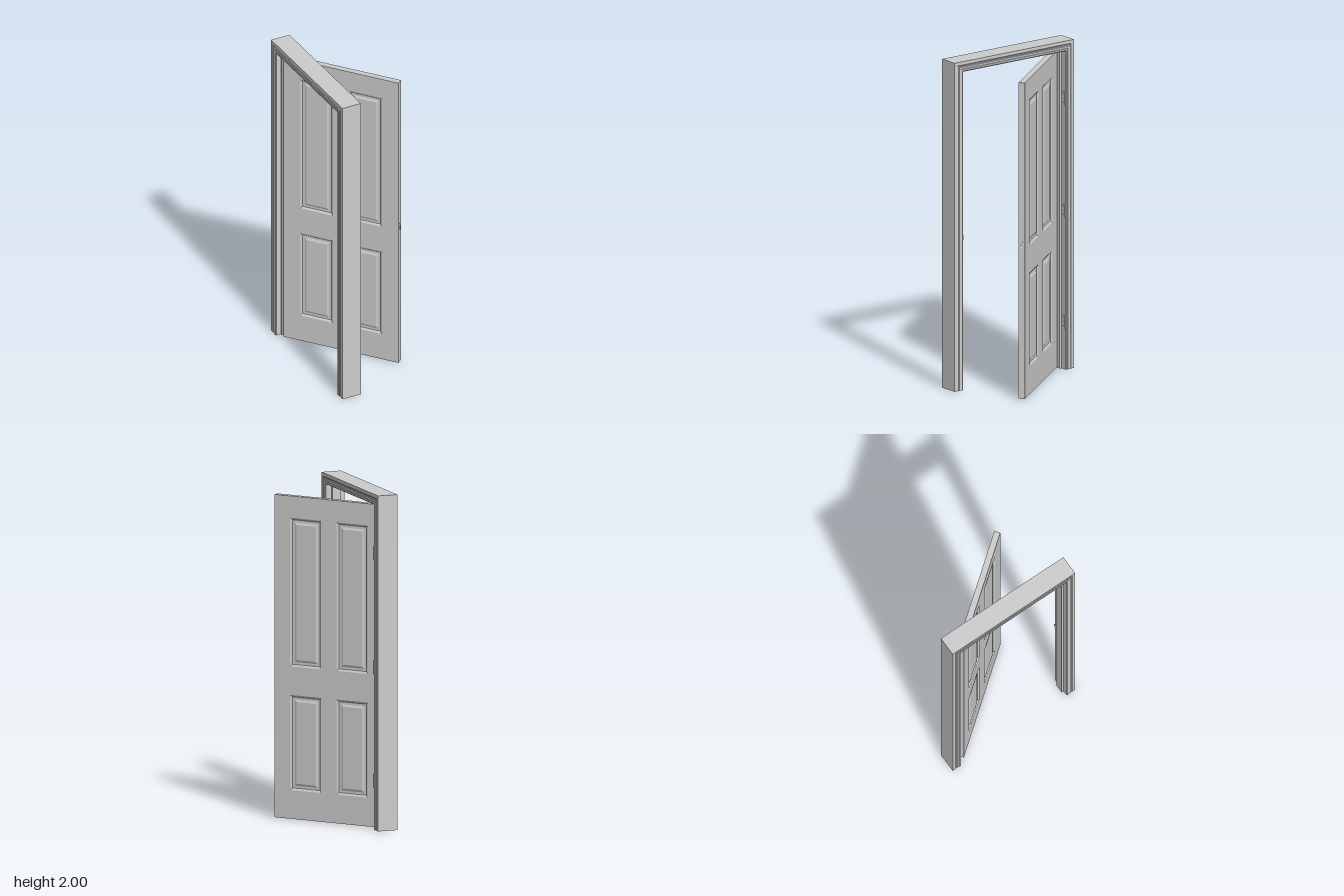
import * as THREE from 'three';

const mat = new THREE.MeshStandardMaterial({ color: 0xcccccc });

function add(parent, name, geo, x = 0, y = 0, z = 0) {
  const m = new THREE.Mesh(geo, mat);
  m.name = name;
  m.position.set(x, y, z);
  parent.add(m);
  return m;
}

// flat-shaded geometry from a list of Vector3 corners, three per triangle
function facets(points) {
  const g = new THREE.BufferGeometry().setFromPoints(points);
  g.computeVertexNormals();
  return g;
}
const quad = (out, a, b, c, d) => out.push(a, b, c, a, c, d);

// frame: a moulded profile [x, inset] swept with mitred corners up, across and down
function frameGeometry() {
  const front = [[0.061, 0], [0.061, 0.02], [0.058, 0.024], [0.058, 0.03], [0.061, 0.034],
    [0.061, 0.045], [0.0625, 0.047], [0.0625, 0.057], [0.059, 0.062],
    [0.022, 0.062], [0.022, 0.075]];
  const back = front.map(([x, u]) => [-x, u]).reverse();
  back[0][0] = -0.03;
  back[1][0] = -0.03;
  const prof = [...front, ...back].map(([x, u]) => new THREE.Vector2(x - 0.194, u));
  // the loop must begin at the back outer edge
  prof.unshift(prof.pop());
  const stations = [
    p => new THREE.Vector3(p.x, 0, 0.44 - p.y),
    p => new THREE.Vector3(p.x, 2 - p.y, 0.44 - p.y),
    p => new THREE.Vector3(p.x, 2 - p.y, p.y - 0.44),
    p => new THREE.Vector3(p.x, 0, p.y - 0.44),
  ];
  const out = [];
  for (let s = 0; s < 3; s++) {
    prof.forEach((p, i) => {
      const q = prof[(i + 1) % prof.length];
      quad(out, stations[s](p), stations[s](q), stations[s + 1](q), stations[s + 1](p));
    });
  }
  for (const [a, b, c] of THREE.ShapeUtils.triangulateShape(prof, [])) {
    out.push(...[c, b, a].map(i => stations[0](prof[i])));
    out.push(...[a, b, c].map(i => stations[3](prof[i])));
  }
  return facets(out);
}

// raised panel: nested rectangles stepping down into the recess and up again
function panelGeometry(w, h) {
  const steps = [[0, 0], [0.006, -0.003], [0.012, -0.009], [0.027, -0.009], [0.04, -0.003]];
  const rings = steps.map(([i, d]) => [[-1, -1], [1, -1], [1, 1], [-1, 1]].map(
    ([sx, sy]) => new THREE.Vector3(sx * (w / 2 - i), sy * (h / 2 - i), d)));
  const out = [];
  for (let r = 0; r < rings.length - 1; r++) {
    for (let k = 0; k < 4; k++) {
      const n = (k + 1) % 4;
      quad(out, rings[r][k], rings[r][n], rings[r + 1][n], rings[r + 1][k]);
    }
  }
  quad(out, ...rings[rings.length - 1]);
  return facets(out);
}

function rect(path, x0, y0, x1, y1) {
  path.moveTo(x0, y0);
  path.lineTo(x1, y0);
  path.lineTo(x1, y1);
  path.lineTo(x0, y1);
  path.closePath();
  return path;
}

function makeDoor() {
  const door = new THREE.Group();
  door.name = 'door';
  const L = 0.735, T = 0.037;

  // slab with four openings
  const shape = rect(new THREE.Shape(), 0, 0.004, L, 1.928);
  const panels = [];
  for (const [x0, x1] of [[0.105, 0.315], [0.42, 0.63]]) {
    for (const [y0, y1] of [[0.175, 0.742], [0.912, 1.798]]) {
      shape.holes.push(rect(new THREE.Path(), x0, y0, x1, y1));
      panels.push([x0, x1, y0, y1]);
    }
  }
  const slab = new THREE.ExtrudeGeometry(shape, { depth: T, bevelEnabled: false });
  add(door, 'doorSlab', slab, 0, 0, -T / 2);

  // raised panels on both faces
  for (const [x0, x1, y0, y1] of panels) {
    const g = panelGeometry(x1 - x0, y1 - y0);
    for (const side of [1, -1]) {
      const p = add(door, 'raisedPanel', g, (x0 + x1) / 2, (y0 + y1) / 2, side * T / 2);
      if (side < 0) p.rotation.y = Math.PI;
    }
  }

  // latch plate, bolt and screws on the free edge
  add(door, 'latchPlate', new THREE.BoxGeometry(0.002, 0.055, 0.02), L, 0.93, 0);
  const bolt = new THREE.Shape([[0, -0.006], [0.002, -0.006], [0.009, 0.006], [0, 0.006]]
    .map(p => new THREE.Vector2(...p)));
  const boltGeo = new THREE.ExtrudeGeometry(bolt, { depth: 0.018, bevelEnabled: false });
  boltGeo.translate(0, 0, -0.009).rotateX(Math.PI / 2);
  add(door, 'latchBolt', boltGeo, L, 0.93, 0);
  for (const dy of [-0.02, 0.02]) {
    const s = add(door, 'latchScrew', new THREE.CylinderGeometry(0.003, 0.003, 0.002, 10), L + 0.001, 0.93 + dy, 0);
    s.rotation.z = Math.PI / 2;
  }

  door.position.set(-0.211, 0, -0.351);
  door.rotation.y = -0.91;
  return door;
}

function makeHinge(y) {
  const hinge = new THREE.Group();
  hinge.name = 'hinge';
  // leaf on the jamb with screws
  add(hinge, 'hingeLeaf', new THREE.BoxGeometry(0.032, 0.076, 0.002), -0.149, 0, -0.3775);
  for (const [dx, dy] of [[-0.006, -0.026], [0.004, 0], [-0.006, 0.026]]) {
    const s = add(hinge, 'hingeScrew', new THREE.CylinderGeometry(0.0035, 0.0035, 0.002, 10), -0.149 + dx, dy, -0.376);
    s.rotation.x = Math.PI / 2;
  }
  // knuckles and pin tips
  for (let i = -2; i <= 2; i++) {
    add(hinge, 'hingeKnuckle', new THREE.CylinderGeometry(0.0045, 0.0045, 0.0145, 12), -0.1315, i * 0.0153, -0.374);
  }
  add(hinge, 'hingePin', new THREE.CylinderGeometry(0.003, 0.003, 0.084, 10), -0.1315, 0, -0.374);
  hinge.position.y = y;
  return hinge;
}

export function createModel() {
  const model = new THREE.Group();
  model.name = 'doorway';
  add(model, 'doorFrame', frameGeometry());
  model.add(makeDoor());
  for (const y of [0.29, 0.97, 1.65]) model.add(makeHinge(y));

  // strike plate on the latch jamb, with a lip at its front edge
  add(model, 'strikePlate', new THREE.BoxGeometry(0.03, 0.055, 0.002), -0.15, 0.93, 0.3775);
  add(model, 'strikeLip', new THREE.BoxGeometry(0.006, 0.028, 0.003), -0.133, 0.93, 0.3775);
  return model;
}
